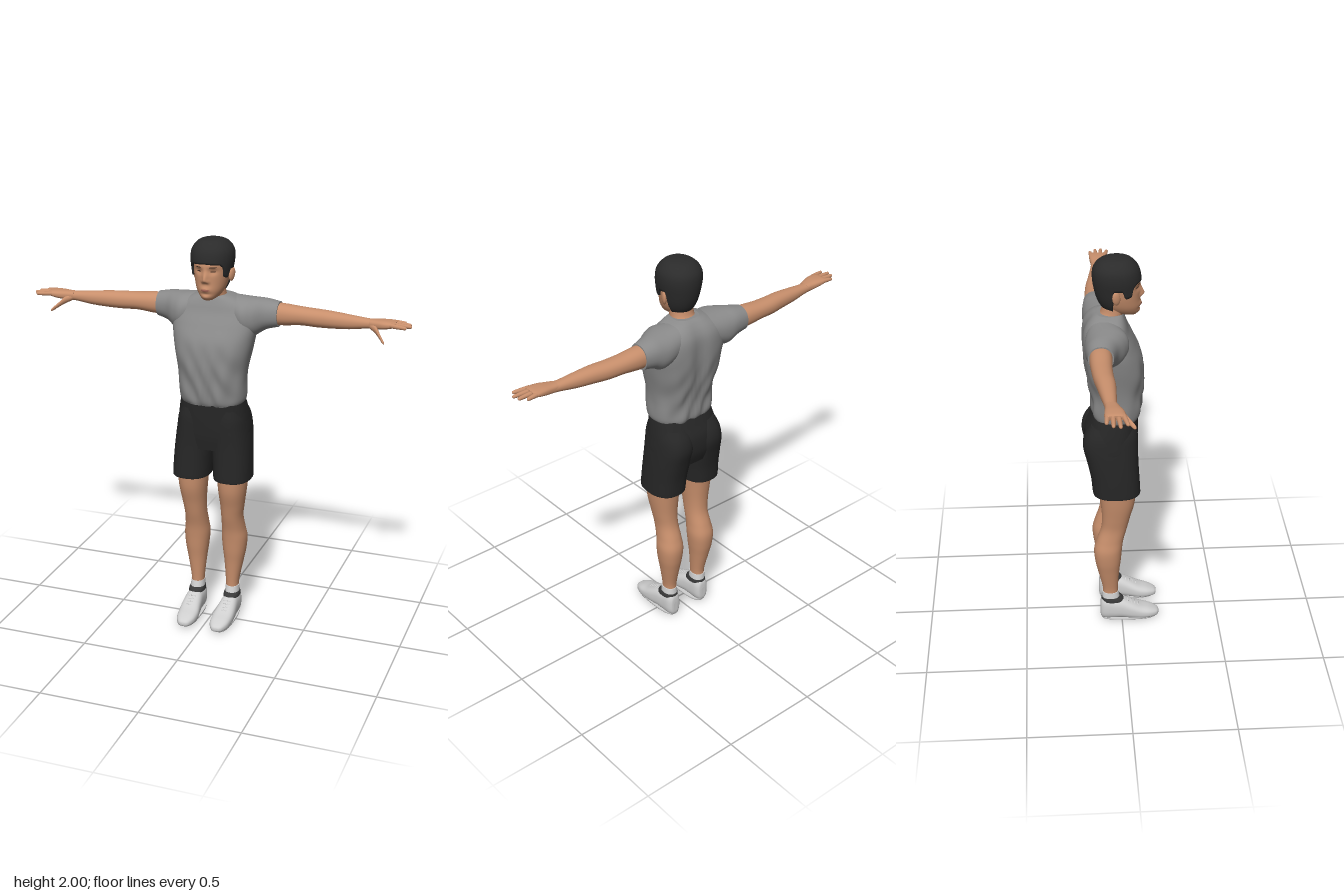
import * as THREE from 'three';

const mat = (name, color, extra = {}) => Object.assign(new THREE.MeshStandardMaterial({ color, ...extra }), { name });
const skin = mat('skin', 0xc88f6c), hairMat = mat('black hair', 0x2b2b2b), shirtMat = mat('grey cloth', 0x8b8b8b);
const shortsMat = mat('black cloth', 0x262626), shoeMat = mat('white leather', 0xcfcfcf), sockMat = mat('white sock', 0xd8d8d8);
const darkMat = mat('dark rubber', 0x3a3a3a), lipMat = mat('lips', 0xa9695a), eyeMat = mat('eyes', 0x4a3428);

// Closed tube of rings from point(row, col); flips itself to face outward
function skinRings(rows, n, point, caps = true) {
  const pos = [], idx = [];
  for (let j = 0; j < rows; j++) for (let i = 0; i < n; i++) pos.push(...point(j, i));
  for (let j = 0; j < rows - 1; j++) for (let i = 0; i < n; i++) {
    const a = j * n + i, b = j * n + (i + 1) % n;
    idx.push(a, b, a + n, b, b + n, a + n);
  }
  if (caps) for (const j of [0, rows - 1]) {
    const first = pos.length / 3, c = [0, 0, 0];
    for (let i = 0; i < n; i++) {
      const p = point(j, i);
      pos.push(...p);
      p.forEach((v, k) => { c[k] += v / n; });
    }
    pos.push(...c);
    for (let i = 0; i < n; i++) {
      const a = first + i, b = first + (i + 1) % n;
      idx.push(...(j ? [a, b, first + n] : [b, a, first + n]));
    }
  }
  let volume = 0;
  const v = k => new THREE.Vector3().fromArray(pos, k * 3);
  for (let k = 0; k < idx.length; k += 3) volume += v(idx[k]).dot(v(idx[k + 1]).cross(v(idx[k + 2])));
  if (volume < 0) idx.reverse();
  const g = new THREE.BufferGeometry();
  g.setAttribute('position', new THREE.Float32BufferAttribute(pos, 3));
  g.setIndex(idx);
  g.computeVertexNormals();
  return g;
}

// Smoothly interpolated section [s, a0, a1, b0, b1]
function sectionAt(S, t) {
  const i = Math.min(Math.floor(t), S.length - 2), f = t - i;
  const p = k => S[Math.max(0, Math.min(S.length - 1, k))];
  return p(i).map((b, c) => {
    const a = p(i - 1)[c], d = p(i + 1)[c], e = p(i + 2)[c];
    return b + 0.5 * f * (d - a + f * (2 * a - 5 * b + 4 * d - e + f * (3 * (b - d) + e - a)));
  });
}
// Point on the rounded outline of a section; angle 0 is toward b1
function outline([s, a0, a1, b0, b1], angle, e) {
  const pw = v => Math.sign(v) * Math.abs(v) ** (2 / e);
  return [s, (a0 + a1) / 2 + (a1 - a0) / 2 * pw(Math.sin(angle)), (b0 + b1) / 2 + (b1 - b0) / 2 * pw(Math.cos(angle))];
}
const axes = { x: (s, a, b) => [s, a, b], y: (s, a, b) => [a, s, b], z: (s, a, b) => [a, b, s] };

function loft(S, { axis = 'y', side = 1, n = 40, e = 2.2, step = 6, shape = p => p } = {}) {
  return skinRings((S.length - 1) * step + 1, n, (j, i) => {
    const [x, y, z] = shape(axes[axis](...outline(sectionAt(S, j / step), i / n * Math.PI * 2, e)));
    return [x * side, y, z];
  });
}
const sym = S => S.map(([y, r, z0, z1]) => [y, -r, r, z0, z1]);
const bell = (v, c, w) => Math.exp(-(((v - c) / w) ** 2));

// Head outline, with facial relief added on the front
const HEAD = sym([[1.715, .024, .025, .074], [1.73, .046, -.05, .086], [1.76, .066, -.085, .091], [1.8, .079, -.105, .09],
  [1.85, .088, -.118, .09], [1.9, .095, -.125, .088], [1.94, .091, -.12, .077], [1.97, .07, -.095, .052], [1.985, .043, -.06, .025], [1.99, 0, -.015, -.015]]);
const relief = (x, y) => {
  const ax = Math.abs(x);
  return .021 * bell(x, 0, .013) * (y < 1.815 ? bell(y, 1.815, .011) : bell(y, 1.815, .034))
    + .006 * bell(ax, .014, .008) * bell(y, 1.808, .009)
    - .008 * bell(ax, .035, .019) * bell(y, 1.856, .014)
    + .004 * bell(ax, .03, .03) * bell(y, 1.88, .012)
    + .007 * bell(x, 0, .024) * bell(y, 1.769, .013)
    - .004 * bell(x, 0, .025) * bell(y, 1.748, .008)
    + .004 * bell(x, 0, .02) * bell(y, 1.732, .012);
};
const tAtHeight = (S, y) => {
  let lo = 0, hi = S.length - 1;
  for (let k = 0; k < 24; k++) { const m = (lo + hi) / 2; if (sectionAt(S, m)[0] < y) lo = m; else hi = m; }
  return lo;
};
const faceZ = (x, y) => {
  const [, , r, z0, z1] = sectionAt(HEAD, tAtHeight(HEAD, y));
  return (z0 + z1) / 2 + (z1 - z0) / 2 * Math.sqrt(Math.max(0, 1 - (x / r) ** 2)) + relief(x, y);
};

// Thin painted oval that follows the face
function facePatch(w, h, x, y) {
  const g = new THREE.RingGeometry(0, 1, 24, 4), p = g.attributes.position;
  for (let i = 0; i < p.count; i++) {
    const px = x + p.getX(i) * w, py = y + p.getY(i) * h;
    p.setXYZ(i, px, py, faceZ(px, py) + .0015);
  }
  g.computeVertexNormals();
  return g;
}

// Hair shell from a varying hairline up to the crown
function hairGeometry() {
  const S = HEAD.map(([y, a, b, c, d]) => [y + .01 * THREE.MathUtils.smoothstep(y, 1.85, 1.99), a * 1.1, b * 1.1, c - .01, d + .008]);
  const line = [[0, 1.893], [.7, 1.888], [.92, 1.87], [1.02, 1.828], [1.3, 1.82], [1.4, 1.86], [1.75, 1.86], [1.88, 1.79], [2.1, 1.745], [3.15, 1.735]];
  const hairline = a => {
    const k = Math.max(1, line.findIndex(p => p[0] >= a)), [p, q] = [line[k - 1], line[k]];
    return p[1] + (q[1] - p[1]) * (a - p[0]) / (q[0] - p[0]);
  };
  const n = 120, rows = 26;
  return skinRings(rows, n, (j, i) => {
    const a = i / n * Math.PI * 2, t0 = tAtHeight(S, hairline(Math.min(a, Math.PI * 2 - a)));
    const t = t0 + (S.length - 1 - t0) * Math.max(0, j - 1) / (rows - 2);
    const [y, x, z] = outline(sectionAt(S, t), a, 2.1);
    return j ? [x, y, z] : [x * .85, y, (z + .015) * .85 - .015];
  }, false);
}

export function createModel() {
  const model = new THREE.Group();
  const add = (name, geometry, material) => {
    const m = new THREE.Mesh(geometry, material);
    m.name = name;
    model.add(m);
    return m;
  };

  // Head
  add('head', loft(HEAD, { n: 128, e: 2, step: 9, shape: ([x, y, z]) => [x, y, z > .02 ? z + relief(x, y) : z] }), skin);
  add('hair', hairGeometry(), hairMat);
  add('neck', loft(sym([[1.66, .085, -.14, .0], [1.7, .066, -.118, .004], [1.73, .058, -.095, .015], [1.78, .056, -.085, .02]])), skin);
  add('lips', facePatch(.022, .006, 0, 1.767), lipMat);
  for (const s of [1, -1]) {
    add('eye', facePatch(.012, .003, s * .035, 1.856), eyeMat);
    add('eyebrow', facePatch(.017, .0025, s * .036, 1.877), eyeMat);
    const ear = add('ear', new THREE.SphereGeometry(1, 20, 14), skin);
    ear.scale.set(.01, .034, .02);
    ear.position.set(s * .094, 1.828, -.026);
    ear.rotation.set(-.15, s * -.35, s * -.12);
  }

  // Shirt with soft folds and a groove down the back
  const folds = ([x, y, z]) => {
    const low = THREE.MathUtils.smoothstep(1.6 - y, 0, .3);
    const f = .004 * low * Math.sin(38 * y + 30 * x + 5 * Math.sin(12 * x)) + .003 * low * Math.sin(70 * x - 18 * y);
    const back = z < -.05 ? .016 * bell(x, 0, .04) * bell(y, 1.52, .2) : 0;
    return [x * (1 + f), y, z + f * Math.sign(z + .03) + back];
  };
  add('shirtBody', loft(sym([[1.185, .155, -.135, .084], [1.215, .167, -.145, .094], [1.3, .166, -.15, .104], [1.4, .18, -.17, .11], [1.5, .2, -.185, .1],
    [1.58, .211, -.188, .067], [1.64, .203, -.183, .038], [1.68, .172, -.167, .024], [1.71, .112, -.142, .012], [1.724, .068, -.12, .004]]),
  { n: 80, e: 2.5, step: 8, shape: folds }), shirtMat);

  // Shorts seat
  add('shortsSeat', loft(sym([[.95, .17, -.155, .07], [1.02, .186, -.178, .08], [1.1, .178, -.178, .083], [1.16, .168, -.155, .083], [1.2, .16, -.138, .082]]),
    { n: 64, e: 2.5 }), shortsMat);

  for (const s of [1, -1]) {
    const o = (axis, extra) => ({ axis, side: s, ...extra });

    // Sleeve and arm
    add('sleeve', loft([[.08, 1.57, 1.715, -.165, .0], [.15, 1.535, 1.712, -.176, .03], [.2, 1.525, 1.708, -.178, .012], [.25, 1.553, 1.702, -.174, -.025],
      [.31, 1.568, 1.69, -.167, -.048]], o('x')), shirtMat);
    add('arm', loft([[.27, 1.575, 1.685, -.16, -.055], [.34, 1.578, 1.682, -.161, -.056], [.42, 1.586, 1.675, -.157, -.06], [.5, 1.585, 1.672, -.15, -.058],
      [.57, 1.588, 1.67, -.139, -.053], [.66, 1.594, 1.663, -.126, -.055], [.74, 1.606, 1.656, -.115, -.058], [.78, 1.61, 1.655, -.112, -.052]], o('x')), skin);

    // Hand
    add('palm', loft([[.76, 1.61, 1.655, -.112, -.054], [.79, 1.612, 1.657, -.113, -.044], [.83, 1.617, 1.66, -.117, -.03],
      [.87, 1.626, 1.659, -.119, -.027], [.888, 1.634, 1.655, -.114, -.031]], o('x', { e: 2.6 })), skin);
    for (const [z0, z1, tip] of [[-.037, -.022, .945], [-.059, -.054, .965], [-.082, -.084, .957], [-.106, -.112, .928]]) {
      const at = (k, r) => {
        const z = z0 + (z1 - z0) * k, y = 1.644 - .003 * k;
        return [.865 + (tip - .865) * k, y - r, y + r, z - r, z + r];
      };
      add('finger', loft([at(0, .0115), at(.35, .011), at(.7, .0095), at(.92, .008), at(.985, .0045), at(1, 0)], o('x', { n: 14, e: 2, step: 3 })), skin);
    }
    add('thumb', loft([[.765, 1.612, 1.64, -.08, -.052], [.795, 1.598, 1.634, -.064, -.03], [.82, 1.584, 1.608, -.03, -.006],
      [.838, 1.571, 1.59, -.007, .013], [.848, 1.566, 1.579, .004, .019], [.852, 1.57, 1.57, .014, .014]], o('x', { n: 18, e: 2, step: 4 })), skin);

    // Shorts leg and bare leg
    add('shortsLeg', loft([[.79, .014, .2, -.143, .088], [.8, .012, .202, -.146, .091], [.88, .007, .199, -.154, .086], [.97, 0, .193, -.173, .081],
      [1.05, -.002, .184, -.191, .08], [1.11, .005, .174, -.181, .078], [1.16, .02, .155, -.15, .07]], o('y', { e: 2.4 })), shortsMat);
    add('leg', loft([[.15, .063, .127, -.1, -.02], [.2, .061, .129, -.1, -.02], [.3, .052, .147, -.122, -.014], [.37, .043, .16, -.137, -.006],
      [.44, .037, .165, -.142, 0], [.5, .041, .157, -.127, .008], [.57, .044, .153, -.105, .026], [.64, .042, .162, -.101, .042],
      [.73, .034, .175, -.108, .064], [.84, .025, .185, -.12, .07]], o('y')), skin);

    // Sock and shoe
    add('sock', loft([[.1, .058, .132, -.103, -.008], [.14, .059, .131, -.103, -.013], [.172, .06, .13, -.102, -.017]], o('y')), sockMat);
    add('shoeCollar', loft([[.115, .054, .137, -.106, .012], [.128, .055, .136, -.107, .006], [.138, .057, .133, -.105, -.005]], o('y')), darkMat);
    add('shoe', loft([[-.112, .082, .108, .03, .09], [-.107, .067, .123, .012, .125], [-.085, .056, .135, .004, .14], [-.04, .053, .138, .005, .13],
      [.0, .05, .141, .007, .125], [.05, .044, .145, .004, .102], [.1, .038, .144, .002, .077], [.145, .042, .138, .004, .062],
      [.178, .056, .123, .008, .048], [.191, .07, .108, .015, .038], [.194, .086, .092, .025, .028]], o('z', { e: 2.6 })), shoeMat);
    add('sole', loft([[0, .055, .128, -.1, .165], [.006, .046, .138, -.105, .178], [.014, .046, .138, -.106, .18]], o('y', { e: 2.8, step: 2 })), shoeMat);
    add('soleArch', loft([[-.0005, .07, .118, -.045, .045], [.004, .07, .118, -.045, .045]], o('y', { step: 1 })), darkMat);
    // Laces
    for (let k = 0; k < 4; k++) {
      const z = .03 + k * .018, y = .114 - k * .0095;
      const path = new THREE.QuadraticBezierCurve3(new THREE.Vector3(s * .072, y - .008, z), new THREE.Vector3(s * .094, y + .006, z), new THREE.Vector3(s * .118, y - .008, z));
      add('lace', new THREE.TubeGeometry(path, 8, .003, 6), sockMat);
    }
  }
  // Rest the soles on the ground
  model.children.forEach(m => { if (m.name === 'soleArch') m.position.y = .0005; });
  return model;
}
